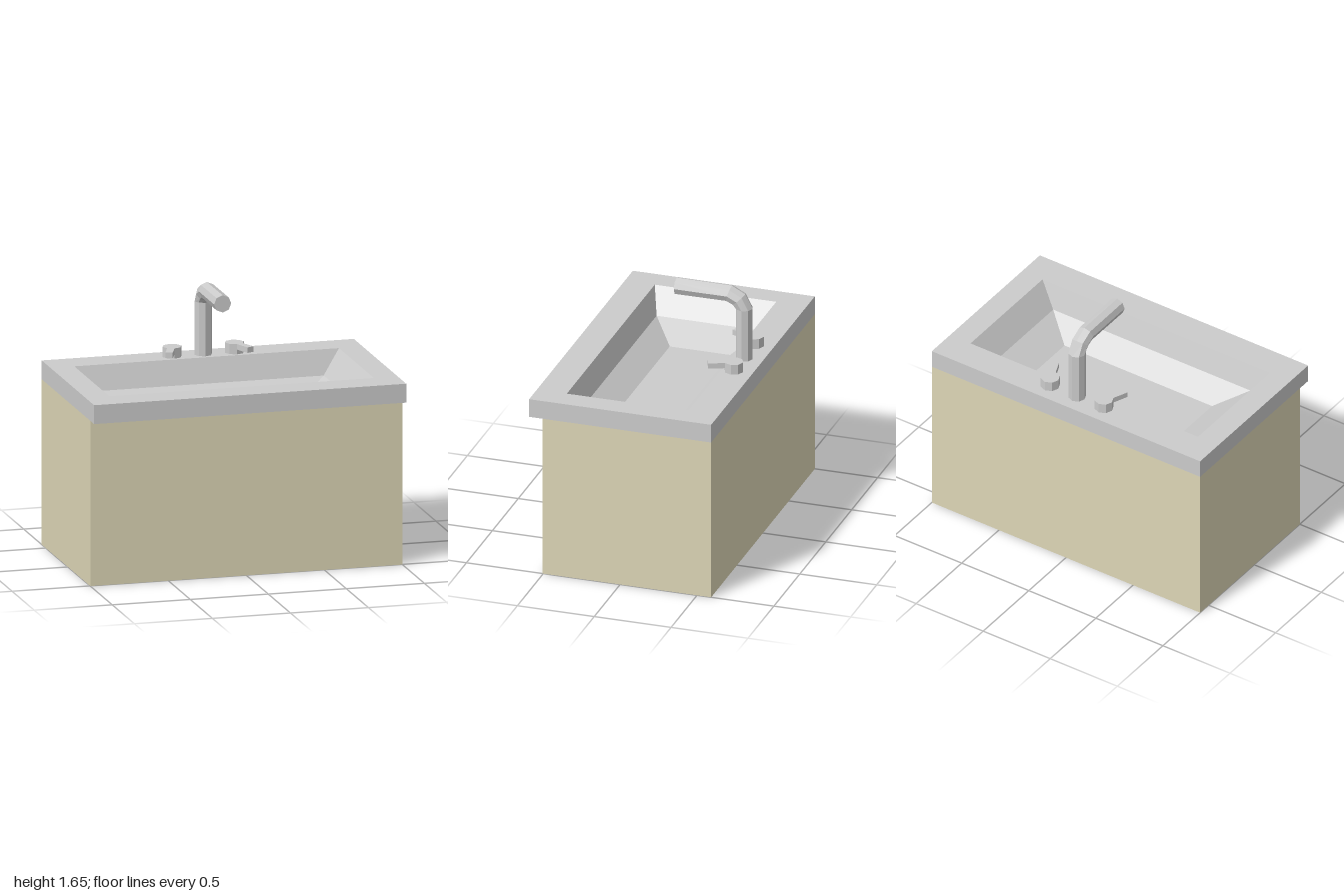
import * as THREE from 'three';

const grey = new THREE.MeshStandardMaterial({ color: 0xcccccc, flatShading: true });
const cream = new THREE.MeshStandardMaterial({ color: 0xddd6b6, flatShading: true });

// Skins a list of equal-sized rings (counter-clockwise about the travel direction), with optional end caps.
function loft(rings, capStart, capEnd) {
  const pos = [];
  const tri = (...pts) => pts.forEach((p) => pos.push(p.x, p.y, p.z));
  const n = rings[0].length;
  for (let k = 0; k < rings.length - 1; k++) {
    const a = rings[k], b = rings[k + 1];
    for (let i = 0; i < n; i++) {
      const j = (i + 1) % n;
      tri(a[i], a[j], b[j]);
      tri(a[i], b[j], b[i]);
    }
  }
  const first = rings[0], last = rings[rings.length - 1];
  for (let i = 1; i < n - 1; i++) {
    if (capStart) tri(first[0], first[i + 1], first[i]);
    if (capEnd) tri(last[0], last[i], last[i + 1]);
  }
  const g = new THREE.BufferGeometry();
  g.setAttribute('position', new THREE.Float32BufferAttribute(pos, 3));
  g.computeVertexNormals();
  return g;
}

// Horizontal rectangle, symmetric in x.
const rect = (y, x, zBack, zFront) => [[-x, zFront], [x, zFront], [x, zBack], [-x, zBack]]
  .map(([px, pz]) => new THREE.Vector3(px, y, pz));

// Octagon in a plane tipped forward about x: 0 = facing up, PI / 2 = facing front.
const octagon = (y, z, tilt, r = 0.055) => Array.from({ length: 8 }, (_, i) => {
  const t = (i * Math.PI) / 4;
  return new THREE.Vector3(Math.sin(t) * r, 0, Math.cos(t) * r)
    .applyAxisAngle(new THREE.Vector3(1, 0, 0), tilt)
    .add(new THREE.Vector3(0, y, z));
});

function part(name, geometry, material = grey) {
  const m = new THREE.Mesh(geometry, material);
  m.name = name;
  return m;
}

// Tap handle: octagonal hub with a flat lever splayed outwards.
function tapHandle(side) {
  const handle = new THREE.Group();
  handle.name = side > 0 ? 'leftTapHandle' : 'rightTapHandle';
  const hub = part('hub', new THREE.CylinderGeometry(0.06, 0.06, 0.065, 8));
  hub.position.y = 0.0325;
  const lever = part('lever', new THREE.BoxGeometry(0.046, 0.035, 0.11).translate(0, 0.0475, 0.105));
  lever.rotation.y = side * Math.PI / 8;
  handle.add(hub, lever);
  handle.position.set(side * 0.2, 1.17, -0.47);
  return handle;
}

export function createModel() {
  const model = new THREE.Group();
  model.name = 'washbasinCabinet';

  // Cabinet, open at the top beneath the counter
  model.add(part('cabinet', loft([
    rect(0, 1, -0.592, 0.505),
    rect(1.05, 1, -0.592, 0.505),
  ], true, false), cream));

  // Counter slab running continuously into the sunken two-slope basin
  model.add(part('counterBasin', loft([
    rect(1.05, 0.85, -0.39, 0.4),
    rect(1.05, 1, -0.592, 0.592),
    rect(1.17, 1, -0.592, 0.592),
    rect(1.17, 0.848, -0.392, 0.398),
    rect(1.016, 0.735, -0.34, 0.348),
    rect(0.91, 0.55, -0.192, 0.2),
  ], false, true)));

  // Faucet: upright stem, two-step bend and horizontal spout
  model.add(part('faucet', loft([
    octagon(1.17, -0.47, 0),
    octagon(1.51, -0.47, 0),
    octagon(1.565, -0.437, 0.75),
    octagon(1.596, -0.375, 1.3),
    octagon(1.596, -0.03, Math.PI / 2),
  ], true, true)));

  for (const side of [-1, 1]) model.add(tapHandle(side));
  return model;
}
